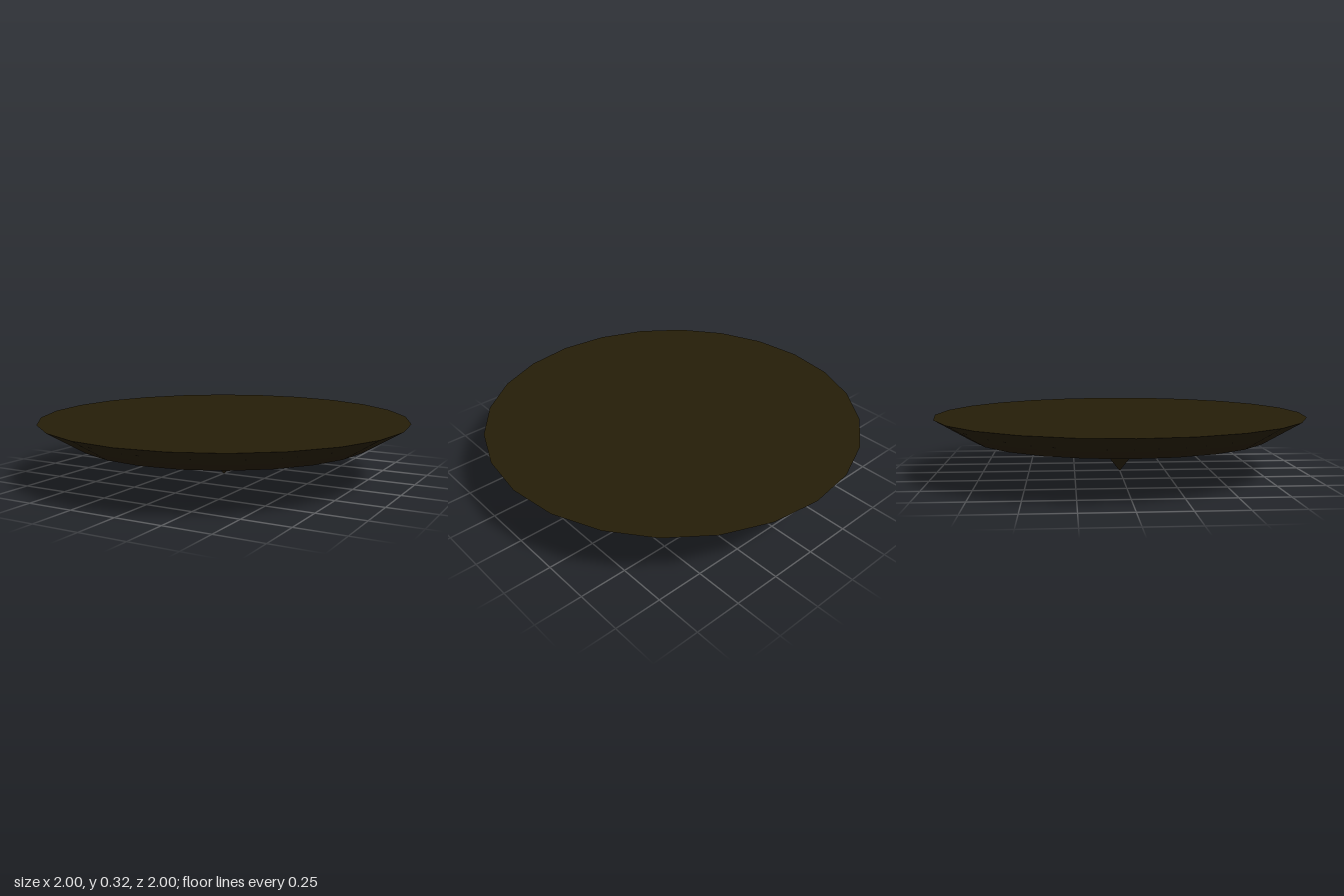
import * as THREE from 'three';

const SIDES = 24;
const TOP = 0.316;

export function createModel() {
  const group = new THREE.Group();
  group.name = 'taperedDish';
  const material = new THREE.MeshStandardMaterial({ color: 0x251d08 });

  // Underside in one smooth skin: central point and two ridges with grooves between
  const profile = [
    [0, 0], [0.003, 0], [0.2, 0.25], [0.4, 0.166],
    [0.6, 0.286], [0.8, 0.196], [1, TOP],
  ].map(([r, y]) => new THREE.Vector2(r, y));
  const underside = new THREE.Mesh(new THREE.LatheGeometry(profile, SIDES), material);
  underside.name = 'ridgedUnderside';

  // Flat top, turned so its corners meet the rim
  const top = new THREE.Mesh(new THREE.CircleGeometry(1, SIDES), material);
  top.name = 'flatTop';
  top.rotation.x = -Math.PI / 2;
  top.position.y = TOP;

  group.add(underside, top);
  return group;
}
